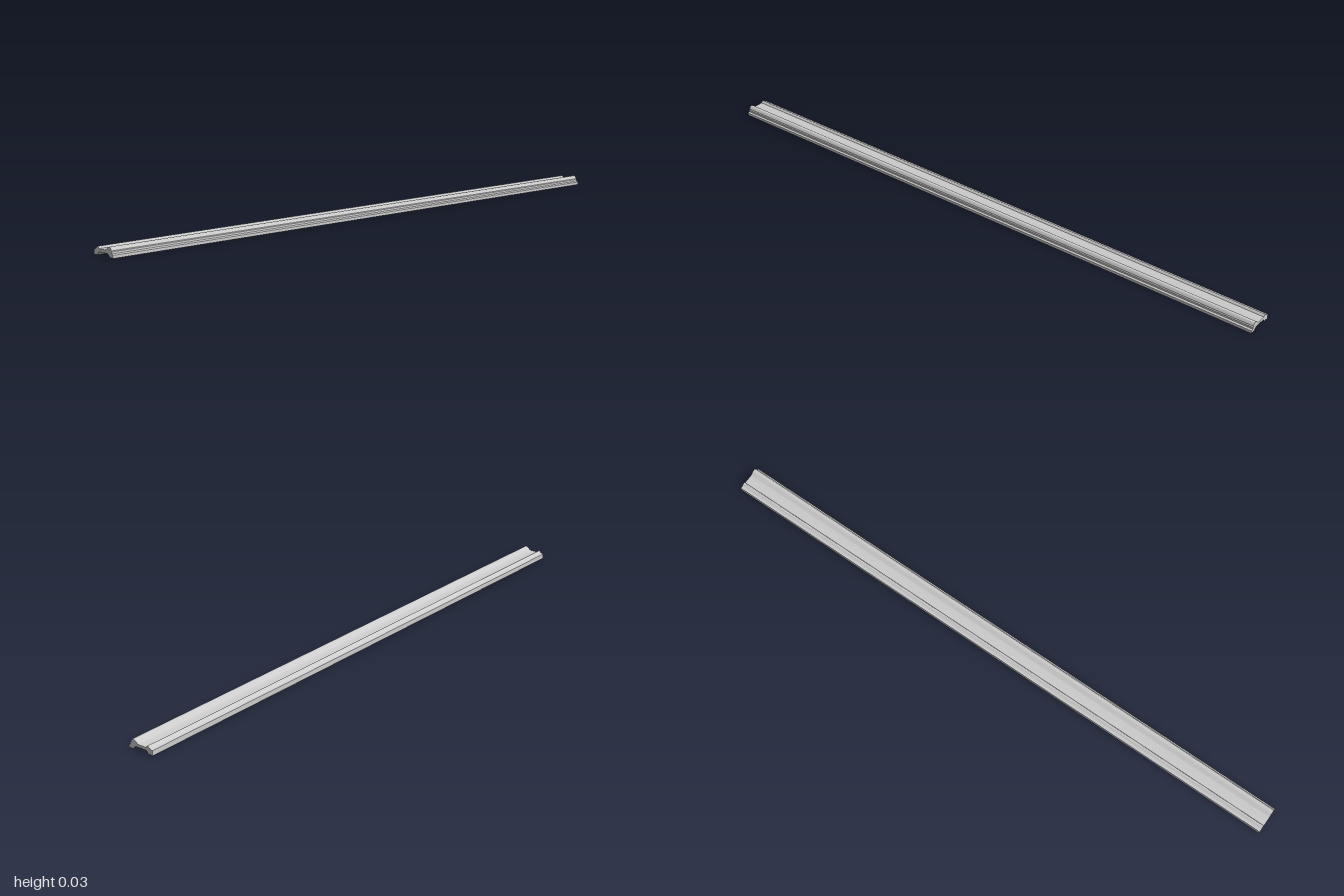
import * as THREE from 'three';
import { toCreasedNormals } from 'three/addons/utils/BufferGeometryUtils.js';

export function createModel() {
  const group = new THREE.Group();
  group.name = 'mouldingStrip';

  // Cross-section, counter-clockwise from the lower right foot
  const s = new THREE.Shape();
  s.moveTo(0.045, 0);
  s.lineTo(0.045, 0.009);
  s.lineTo(0.039, 0.012);
  s.lineTo(0.039, 0.018);
  s.lineTo(0.036, 0.02);
  // Tall rounded bead
  s.bezierCurveTo(0.035, 0.029, 0.029, 0.033, 0.022, 0.029);
  s.bezierCurveTo(0.016, 0.026, 0.013, 0.02, 0.006, 0.019);
  // Flat web
  s.lineTo(-0.022, 0.019);
  // Small bead and outer shoulder
  s.bezierCurveTo(-0.024, 0.024, -0.028, 0.029, -0.033, 0.021);
  s.quadraticCurveTo(-0.038, 0.017, -0.045, 0.016);
  s.lineTo(-0.045, 0);
  // Left foot with a shallow groove
  s.lineTo(-0.038, 0);
  s.lineTo(-0.036, 0.002);
  s.lineTo(-0.033, 0);
  s.lineTo(-0.028, 0.001);
  // Raised underside
  s.quadraticCurveTo(-0.025, 0.009, -0.02, 0.01);
  s.lineTo(0.018, 0.01);
  s.quadraticCurveTo(0.023, 0.008, 0.028, 0.001);
  // Right foot with a shallow groove
  s.lineTo(0.034, 0);
  s.lineTo(0.036, 0.002);
  s.lineTo(0.039, 0);
  s.closePath();

  const geo = new THREE.ExtrudeGeometry(s, { depth: 2, bevelEnabled: false, curveSegments: 8 });
  geo.translate(0, 0, -1);
  const strip = new THREE.Mesh(
    toCreasedNormals(geo, 0.5),
    new THREE.MeshStandardMaterial({ color: 0xcccccc })
  );
  strip.name = 'profileStrip';
  group.add(strip);
  return group;
}
